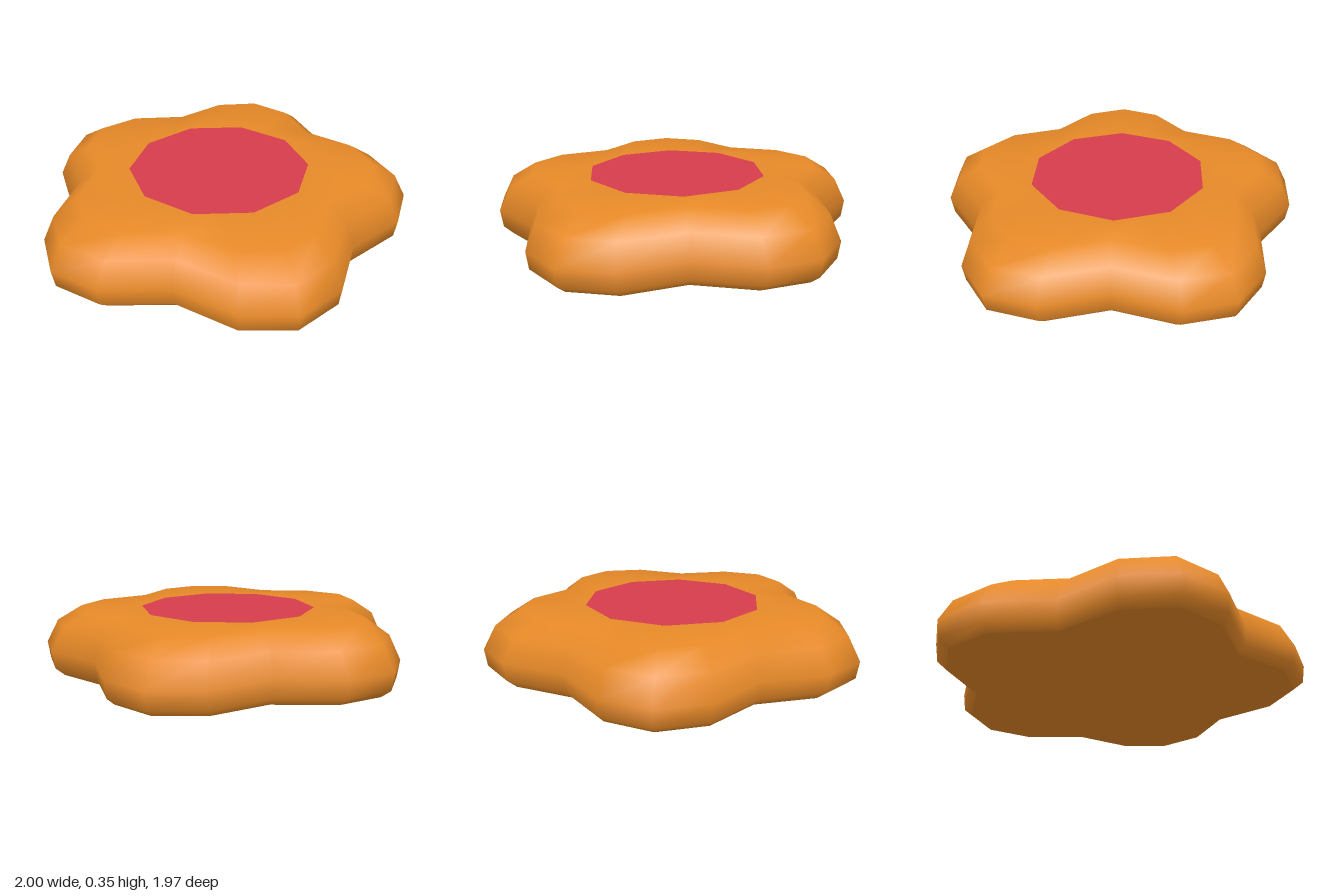
import * as THREE from 'three';

const CENTRE_Z = 0.063;
const HEIGHT = 0.35;

// One lobe: tip, shoulder, notch, shoulder as [degrees, radius]
const LOBE = [[0, 1.05], [15.5, 0.986], [36, 0.823], [56.5, 0.986]];

// Edge profile from the base up: [outline scale, height]
const PROFILE = [[0.935, 0], [0.985, 0.04], [1, 0.135], [0.935, 0.265], [0.8, HEIGHT]];

const CORE_RADIUS = 0.49;

// Five-lobed outline of 20 points
function outline(scale) {
  const points = [];
  for (let k = 0; k < 5; k++) {
    for (const [deg, r] of LOBE) {
      const a = THREE.MathUtils.degToRad(deg + k * 72);
      points.push(new THREE.Vector2(Math.sin(a) * r * scale, -Math.cos(a) * r * scale));
    }
  }
  return points;
}

// Decagon around the core, with edge midpoints so it has 20 points too
function coreOutline() {
  return Array.from({ length: 20 }, (_, i) => {
    const a = (i * Math.PI) / 10;
    const r = i % 2 ? CORE_RADIUS * Math.cos(Math.PI / 10) : CORE_RADIUS;
    return new THREE.Vector2(Math.sin(a) * r, -Math.cos(a) * r);
  });
}

// Smooth skin through stacked rings
function loft(rings) {
  const position = [];
  const index = [];
  const n = rings[0].points.length;
  for (const { points, y } of rings) for (const p of points) position.push(p.x, y, p.y);
  for (let r = 0; r < rings.length - 1; r++) {
    for (let i = 0; i < n; i++) {
      const j = (i + 1) % n;
      const low = r * n;
      const up = low + n;
      index.push(low + j, low + i, up + i, low + j, up + i, up + j);
    }
  }
  const geometry = new THREE.BufferGeometry();
  geometry.setAttribute('position', new THREE.Float32BufferAttribute(position, 3));
  geometry.setIndex(index);
  geometry.computeVertexNormals();
  return geometry;
}

export function createModel() {
  const orange = new THREE.MeshStandardMaterial({ name: 'orange', color: 0xe88a28 });
  const red = new THREE.MeshStandardMaterial({ name: 'red', color: 0xd63d4b });

  const group = new THREE.Group();
  group.name = 'flower';
  const add = (name, geometry, material) => {
    const mesh = new THREE.Mesh(geometry, material);
    mesh.name = name;
    mesh.position.z = CENTRE_Z;
    group.add(mesh);
    return mesh;
  };

  // Rounded petals, rising to the flat top around the core
  const rings = PROFILE.map(([scale, y]) => ({ points: outline(scale), y }));
  rings.push({ points: coreOutline(), y: HEIGHT });
  add('petals', loft(rings), orange);

  // Flat underside
  const base = new THREE.ShapeGeometry(new THREE.Shape(outline(PROFILE[0][0])));
  add('base', base.rotateX(Math.PI / 2), orange);

  // Flat ten-sided core
  const core = new THREE.CircleGeometry(CORE_RADIUS, 10, Math.PI / 2);
  add('core', core.rotateX(-Math.PI / 2), red).position.y = HEIGHT;

  return group;
}
